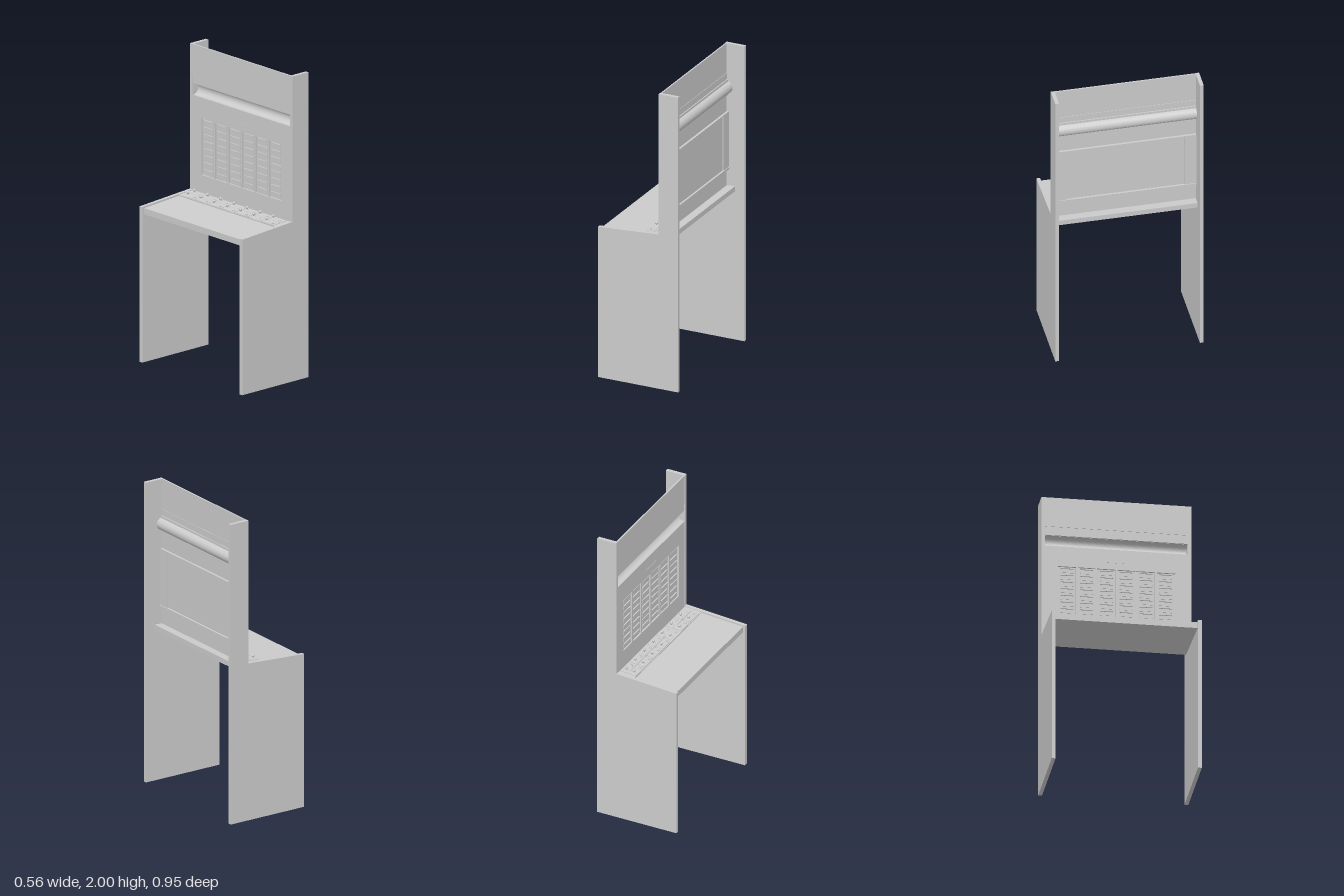
import * as THREE from 'three';

const mat = new THREE.MeshStandardMaterial({ color: 0xcccccc });
const slope = 0.0625;

function add(parent, name, geo, x = 0, y = 0, z = 0) {
  const m = new THREE.Mesh(geo, mat);
  m.name = name;
  m.position.set(x, y, z);
  parent.add(m);
  return m;
}

// box given by its x, y and z ranges
function block(parent, name, x0, x1, y0, y1, z0, z1) {
  return add(parent, name, new THREE.BoxGeometry(x1 - x0, y1 - y0, z1 - z0),
    (x0 + x1) / 2, (y0 + y1) / 2, (z0 + z1) / 2);
}

// side profile (x, y) swept across z
function sweep(parent, name, pts, z0, z1) {
  const shape = new THREE.Shape(pts.map(p => new THREE.Vector2(...p)));
  const geo = new THREE.ExtrudeGeometry(shape, { depth: z1 - z0, bevelEnabled: false });
  return add(parent, name, geo, 0, 0, z0);
}

export function createModel() {
  const root = new THREE.Group();
  root.name = 'switchboardDesk';
  const W = 0.451;

  // side walls: sloped lower leg and narrow upright
  for (const s of [-1, 1]) {
    const z0 = s > 0 ? W : -0.475, z1 = s > 0 ? 0.475 : -W;
    sweep(root, 'sideLeg', [[-0.28, 0], [0.28, 0], [0.28, 1.055], [-0.28, 1.02]], z0, z1);
    sweep(root, 'sideUpright', [[0.145, 1.0466], [0.28, 1.055], [0.28, 2], [0.145, 2]], z0, z1);
  }

  // sloping desk top
  sweep(root, 'deskTop', [[-0.265, 0.97], [0.215, 1.006], [0.215, 1.04], [-0.265, 1.01]], -W, W);

  // key shelf, tilted with the desk
  const keys = new THREE.Group();
  keys.name = 'keyShelf';
  keys.position.set(0, 1.027, 0);
  keys.rotation.z = Math.atan(slope);
  root.add(keys);
  block(keys, 'keyShelfBase', 0.028, 0.147, -0.004, 0.006, -W, W);
  const ball = new THREE.SphereGeometry(0.0095, 14, 10);
  const stem = new THREE.CylinderGeometry(0.004, 0.004, 0.012, 10);
  const collar = new THREE.CylinderGeometry(0.012, 0.014, 0.003, 16);
  const ring = new THREE.TorusGeometry(0.009, 0.002, 6, 16).rotateX(Math.PI / 2);
  const pin = new THREE.CylinderGeometry(0.004, 0.004, 0.004, 8);
  const screw = new THREE.CylinderGeometry(0.0025, 0.0025, 0.002, 6);
  for (let i = 0; i < 7; i++) {
    const z = -0.366 + i * 0.122;
    for (const x of [0.06, 0.116]) {
      block(keys, 'keyPlate', x - 0.027, x + 0.027, 0.006, 0.009, z - 0.059, z + 0.059);
      add(keys, 'keyCollar', collar, x, 0.0105, z - 0.033);
      add(keys, 'keyStem', stem, x, 0.017, z - 0.033);
      add(keys, 'keyKnob', ball, x, 0.026, z - 0.033);
      add(keys, 'socketRing', ring, x - 0.008, 0.01, z + 0.034);
      add(keys, 'socketPin', pin, x - 0.008, 0.01, z + 0.034);
      for (const dx of [-0.022, 0.022]) for (const dz of [-0.054, 0.054])
        add(keys, 'plateScrew', screw, x + dx, 0.0095, z + dz);
    }
  }

  // upright face panels
  block(root, 'topPanel', 0.147, 0.157, 1.8, 2, -W, W);
  block(root, 'troughHeader', 0.15, 0.16, 1.755, 1.8, -W, W);
  block(root, 'middlePanel', 0.147, 0.157, 1.53, 1.655, -W, W);
  block(root, 'bottomPanel', 0.147, 0.157, 1.03, 1.16, -W, W);
  for (const s of [-1, 1]) {
    const a = s * 0.375, b = s * W;
    block(root, 'sideStile', 0.147, 0.172, 1.16, 1.53, Math.min(a, b), Math.max(a, b));
  }
  block(root, 'lowerRail', 0.157, 0.177, 1.15, 1.165, -W, W);
  block(root, 'upperRail', 0.157, 0.172, 1.53, 1.54, -W, W);

  // rounded trough bulging to the rear, open to the operator
  const arc = (r, flip) => {
    const out = [];
    for (let i = 0; i <= 20; i++) {
      const t = (flip ? 20 - i : i) / 20 * Math.PI - Math.PI / 2;
      out.push([0.157 + r * Math.cos(t), 1.704 + r * Math.sin(t)]);
    }
    return out;
  };
  const trough = sweep(root, 'trough', [...arc(0.041, false), ...arc(0.037, true)], -W, W);
  trough.material = new THREE.MeshStandardMaterial({ color: 0xcccccc, side: THREE.DoubleSide });
  block(root, 'troughUpperLip', 0.15, 0.167, 1.742, 1.758, -W, W);
  block(root, 'troughLowerLip', 0.147, 0.167, 1.652, 1.667, -W, W);

  // indicator field: columns of small shutters
  const field = new THREE.Group();
  field.name = 'indicatorField';
  root.add(field);
  block(field, 'fieldBoard', 0.158, 0.164, 1.16, 1.53, -0.376, 0.376);
  const cols = 6, rows = 8, pz = 0.75 / cols, py = 0.37 / rows;
  const flap = new THREE.BoxGeometry(0.008, 0.006, pz * 0.66);
  const plate = new THREE.BoxGeometry(0.004, py * 0.55, pz * 0.66);
  for (let c = 0; c <= cols; c++) {
    const z = -0.375 + c * pz;
    block(field, 'columnDivider', 0.149, 0.159, 1.16, 1.53, z - 0.006, z + 0.006);
    if (c === cols) break;
    for (let r = 0; r < rows; r++) {
      const y = 1.16 + (r + 0.5) * py;
      add(field, 'shutterPlate', plate, 0.157, y - 0.003, z + pz / 2);
      add(field, 'shutterHood', flap, 0.153, y + py * 0.3, z + pz / 2);
    }
  }

  // small label holder above the field
  block(root, 'labelHolder', 0.1455, 0.148, 1.575, 1.587, -0.06, 0.06);

  return root;
}
